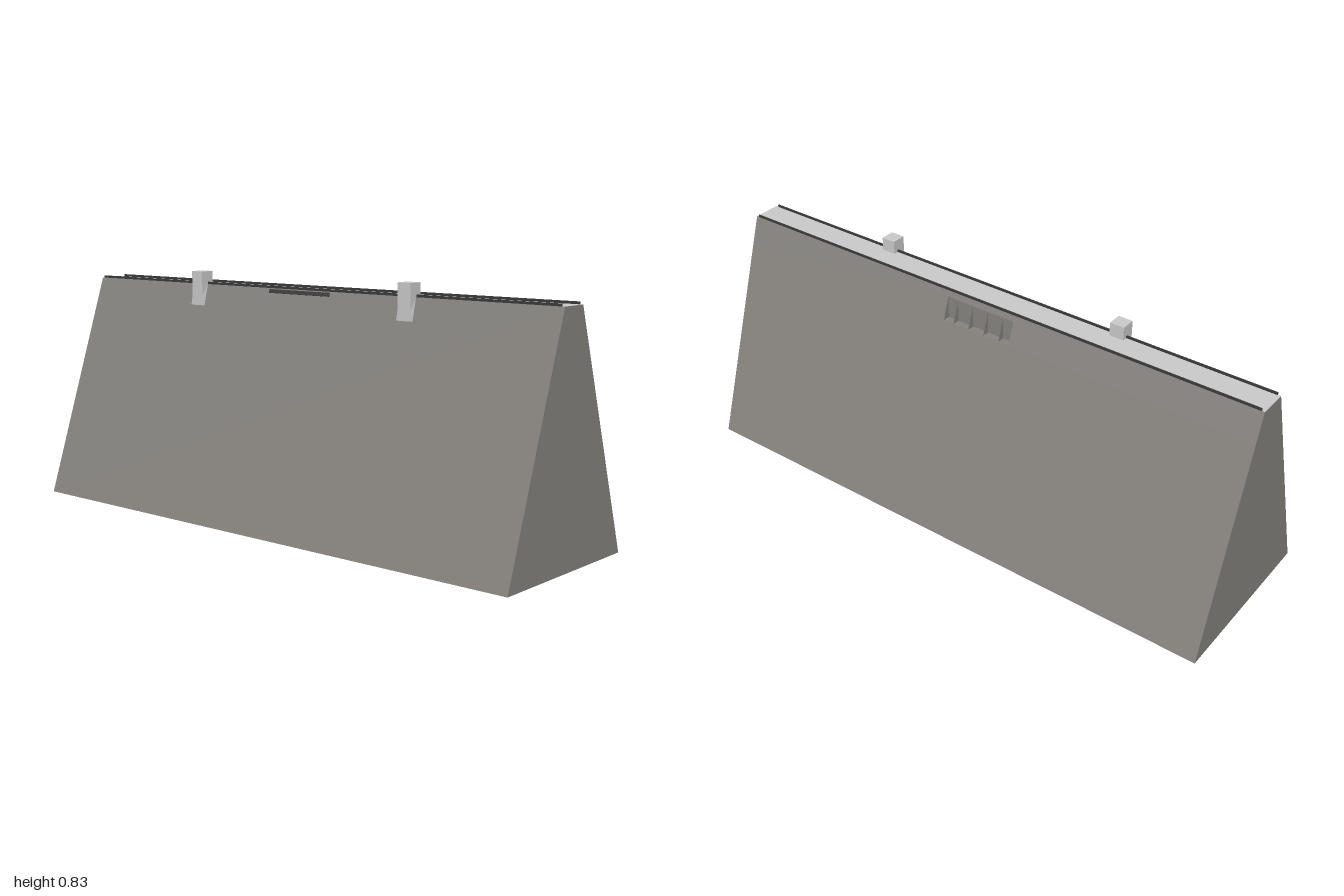
import * as THREE from 'three';

const H = 0.785, TOP = 0.05, BASE = 0.311; // height, half depths
const slopeZ = (y) => BASE + (TOP - BASE) * (y / H);

// Flat-shaded surface from a list of four-cornered (or three-cornered) faces
function faces(name, list, material) {
  const pos = [];
  for (const f of list) {
    for (let i = 1; i < f.length - 1; i++) pos.push(...f[0], ...f[i], ...f[i + 1]);
  }
  const g = new THREE.BufferGeometry();
  g.setAttribute('position', new THREE.Float32BufferAttribute(pos, 3));
  g.computeVertexNormals();
  const m = new THREE.Mesh(g, material);
  m.name = name;
  return m;
}

export function createModel() {
  const concrete = new THREE.MeshStandardMaterial({ color: 0x86837f, side: THREE.DoubleSide });
  concrete.name = 'concrete grey';
  const pale = new THREE.MeshStandardMaterial({ color: 0xcacaca, side: THREE.DoubleSide });
  pale.name = 'pale grey';
  const dark = new THREE.MeshStandardMaterial({ color: 0x3c3a3a });
  dark.name = 'dark grey';

  const group = new THREE.Group();
  group.name = 'barrier';

  // Sloping patches of the front (s = 1) and back (s = -1) walls
  const patch = (s, x0, x1, y0, y1) => {
    const q = [
      [x0, y0, s * slopeZ(y0)], [x1, y0, s * slopeZ(y0)],
      [x1, y1, s * slopeZ(y1)], [x0, y1, s * slopeZ(y1)],
    ];
    return s > 0 ? q : q.reverse();
  };

  // Niche opening in the back wall
  const W = 0.13, N0 = 0.688, N1 = 0.765;
  group.add(faces('frontWall', [patch(1, -1, 1, 0, H)], concrete));
  group.add(faces('backWall', [
    patch(-1, -1, 1, 0, N0), patch(-1, -1, 1, N1, H),
    patch(-1, -1, -W, N0, N1), patch(-1, W, 1, N0, N1),
  ], concrete));

  // End walls; the underside stays open
  for (const s of [1, -1]) {
    const q = [[s, 0, BASE], [s, 0, -BASE], [s, H, -TOP], [s, H, TOP]];
    group.add(faces(s > 0 ? 'leftEnd' : 'rightEnd', [s > 0 ? q : q.reverse()], concrete));
  }

  // Top cap
  group.add(faces('topCap', [[[-1, H, TOP], [1, H, TOP], [1, H, -TOP], [-1, H, -TOP]]], pale));

  // Niche floor and upright wall
  const zo = -slopeZ(N0), zi = -slopeZ(N1);
  group.add(faces('niche', [
    [[-W, N0, zi], [W, N0, zi], [W, N0, zo], [-W, N0, zo]],
    [[W, N0, zi], [-W, N0, zi], [-W, N1, zi], [W, N1, zi]],
  ], concrete));

  // Triangular fins dividing the niche
  for (const x of [-W, -0.09, -0.03, 0.03, 0.09, W]) {
    group.add(faces('nicheFin', [[[x, N0, zi], [x, N0, zo], [x, N1, zi]]], concrete));
  }

  // Thin raised rims along the top edges
  for (const s of [1, -1]) {
    const rim = new THREE.Mesh(new THREE.BoxGeometry(1.98, 0.008, 0.004), dark);
    rim.position.set(0, H + 0.004, s * (TOP - 0.001));
    rim.name = s > 0 ? 'frontRim' : 'backRim';
    group.add(rim);
  }

  // Narrow slot on the front wall
  const slot = new THREE.Mesh(new THREE.BoxGeometry(0.265, 0.013, 0.004), dark);
  slot.position.set(0, 0.775, slopeZ(0.775));
  slot.rotation.x = -Math.atan((BASE - TOP) / H);
  slot.name = 'frontSlot';
  group.add(slot);

  // Two lifting lugs, side profile pulled along x and flared at the foot
  const profile = new THREE.Shape([
    [0.03, H], [0.052, H], [0.076, 0.712], [0.08, 0.712],
    [0.08, 0.745], [0.08, 0.83], [0.03, 0.83],
  ].map(([z, y]) => new THREE.Vector2(-z, y)));
  const lug = new THREE.ExtrudeGeometry(profile, { depth: 0.05, bevelEnabled: false });
  lug.translate(0, 0, -0.025);
  lug.rotateY(Math.PI / 2);
  // After the turn, the profile's -z axis lies along +z
  const p = lug.attributes.position;
  for (let i = 0; i < p.count; i++) {
    if (p.getY(i) < 0.72) p.setX(i, p.getX(i) * 1.2);
  }
  lug.computeVertexNormals();
  for (const s of [1, -1]) {
    const m = new THREE.Mesh(lug, pale);
    m.position.x = s * 0.455;
    m.name = s > 0 ? 'leftLug' : 'rightLug';
    group.add(m);
  }

  return group;
}
